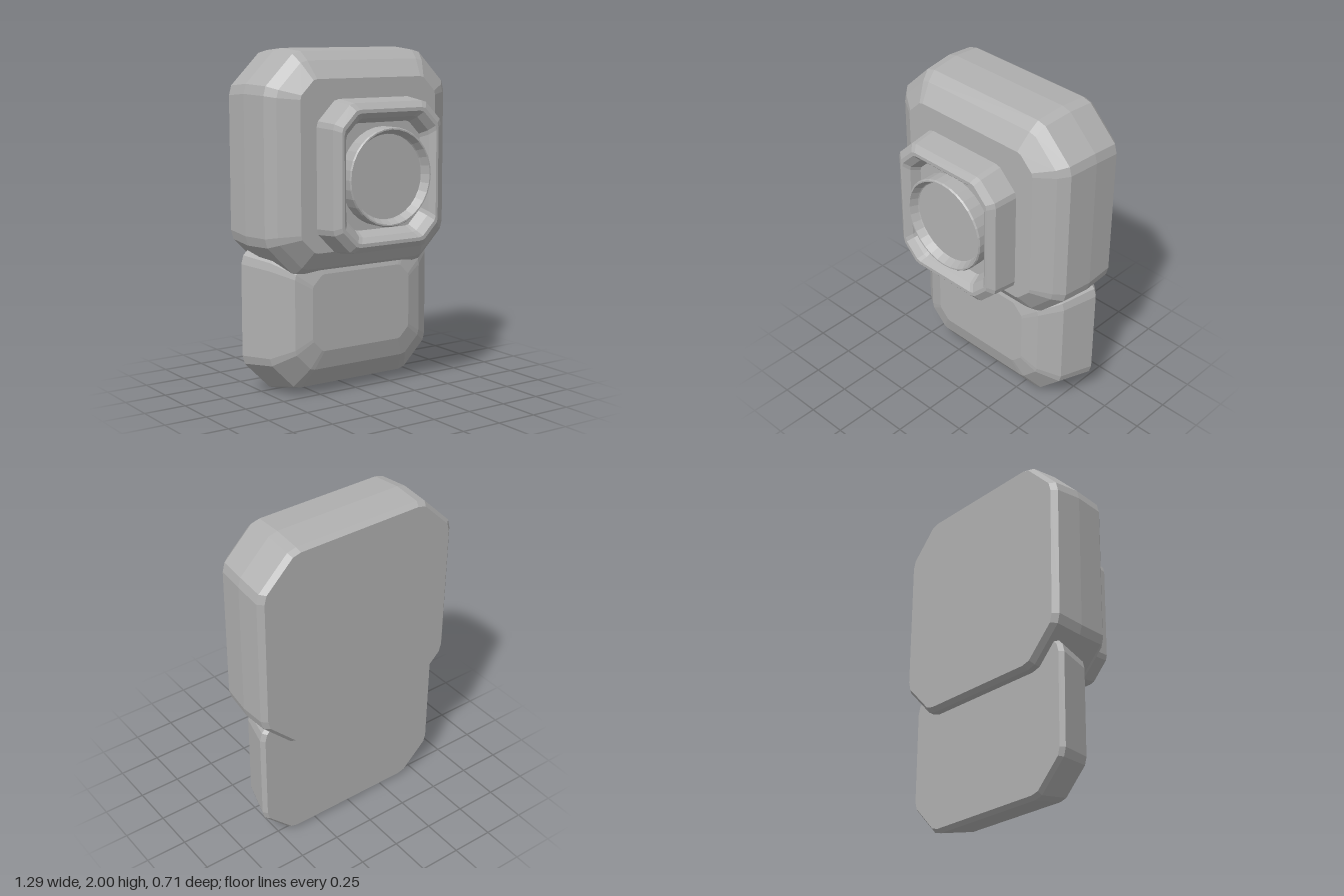
import * as THREE from 'three';

const grey = new THREE.MeshStandardMaterial({ color: 0xb0b0b0, flatShading: true });
grey.name = 'grey';

// One corner of the softened chamfer, as fractions of the cut
const CORNER = [[0, 1], [0.06, 0.78], [0.78, 0.06], [1, 0]];

// Chamfered rectangle, counter-clockwise seen from the front
function ring([z, hw, hh, cut]) {
  const pts = [];
  [[1, 1], [-1, 1], [-1, -1], [1, -1]].forEach(([sx, sy]) => {
    const c = CORNER.map(([a, b]) => [sx * (hw - a * cut), sy * (hh - b * cut), z]);
    pts.push(...(sx * sy > 0 ? c : c.reverse()));
  });
  return pts;
}

// Skin of chamfered rectangles from back to front, closed at both ends
function loft(name, centreY, sections) {
  const rings = sections.map(ring);
  const n = rings[0].length;
  const position = [], index = [];
  rings.forEach(r => r.forEach(p => position.push(...p)));
  for (let r = 0; r < rings.length - 1; r++) {
    for (let i = 0; i < n; i++) {
      const j = (i + 1) % n, a = r * n + i, b = r * n + j;
      index.push(a, b, b + n, a, b + n, a + n);
    }
  }
  const last = (rings.length - 1) * n;
  for (let i = 1; i < n - 1; i++) {
    index.push(0, i + 1, i);
    index.push(last, last + i, last + i + 1);
  }
  const g = new THREE.BufferGeometry();
  g.setAttribute('position', new THREE.Float32BufferAttribute(position, 3));
  g.setIndex(index);
  const flat = g.toNonIndexed();
  flat.computeVertexNormals();
  const mesh = new THREE.Mesh(flat, grey);
  mesh.name = name;
  mesh.position.y = centreY;
  return mesh;
}

export function createModel() {
  const model = new THREE.Group();
  model.name = 'cameraUnit';

  // Sections: z, half width, half height, corner cut
  model.add(loft('upperBody', 1.35, [
    [-0.355, 0.615, 0.615, 0.23],
    [-0.325, 0.645, 0.635, 0.25],
    [-0.16, 0.645, 0.65, 0.25],
    [0.02, 0.625, 0.635, 0.24],
    [0.075, 0.575, 0.585, 0.2],
    [0.145, 0.465, 0.485, 0.11],
  ]));

  model.add(loft('lowerBody', 0.5, [
    [-0.29, 0.595, 0.48, 0.21],
    [-0.265, 0.615, 0.5, 0.23],
    [-0.055, 0.555, 0.455, 0.2],
    [0.035, 0.44, 0.335, 0.13],
    [0.065, 0.34, 0.225, 0.08],
  ]));

  // Hollow housing: outer wall, rim, then inner wall down to the floor
  model.add(loft('lensHousing', 1.293, [
    [0.18, 0.385, 0.432, 0.15],
    [0.32, 0.37, 0.415, 0.14],
    [0.35, 0.33, 0.38, 0.12],
    [0.35, 0.315, 0.36, 0.115],
    [0.32, 0.285, 0.33, 0.11],
    [0.26, 0.265, 0.3, 0.1],
  ]));

  // Lens ring with a recessed glass disc
  const lensGeometry = new THREE.LatheGeometry([
    [0.28, 0.24], [0.28, 0.345], [0.274, 0.354], [0.266, 0.354], [0.245, 0.31], [0.24, 0.305], [0, 0.305],
  ].map(([r, z]) => new THREE.Vector2(r, z)), 32);
  lensGeometry.rotateX(Math.PI / 2);
  const lens = new THREE.Mesh(lensGeometry, grey);
  lens.name = 'lens';
  lens.position.y = 1.29;
  model.add(lens);

  return model;
}
